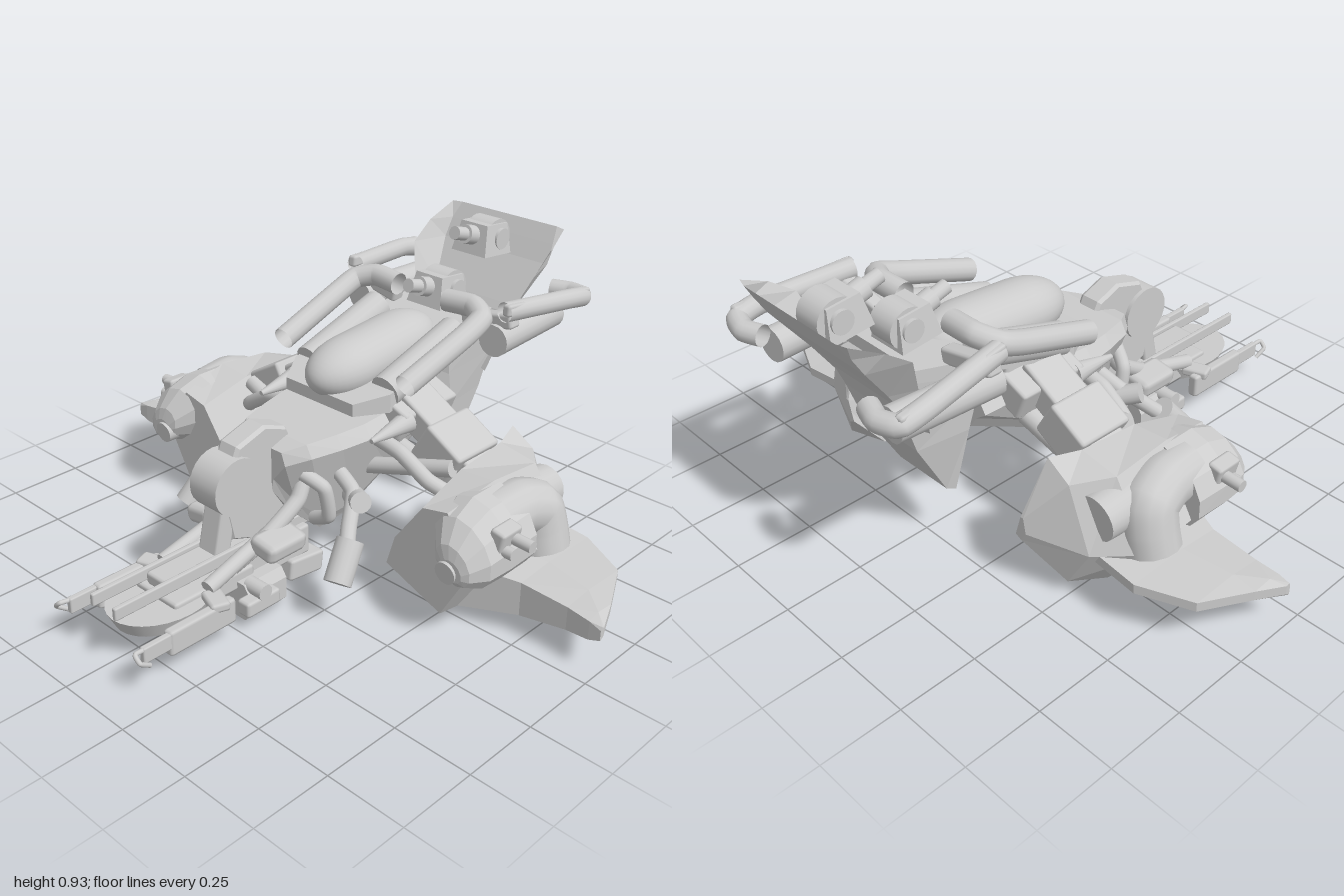
import * as THREE from 'three';
import { RoundedBoxGeometry } from 'three/addons/geometries/RoundedBoxGeometry.js';

const smooth = new THREE.MeshStandardMaterial({ color: 0xcccccc });
const open = new THREE.MeshStandardMaterial({ color: 0xcccccc, side: THREE.DoubleSide });
const flat = new THREE.MeshStandardMaterial({ color: 0xcccccc, flatShading: true, side: THREE.DoubleSide });
const V = (p) => new THREE.Vector3(...p);

export function createModel() {
  const root = new THREE.Group();
  root.name = 'hoverBike';

  const add = (name, geo, pos = [0, 0, 0], rot = [0, 0, 0], mat = smooth) => {
    const m = new THREE.Mesh(geo, mat);
    m.name = name;
    m.position.set(...pos);
    m.rotation.set(...rot);
    root.add(m);
    return m;
  };
  const box = (name, size, pos, rot, r = 0.01) => add(name, new RoundedBoxGeometry(...size, 1, r), pos, rot);
  // cylinder between two points
  const rod = (name, a, b, r, r2 = r, segs = 16) => {
    const d = V(b).sub(V(a));
    const m = add(name, new THREE.CylinderGeometry(r2, r, d.length(), segs));
    m.position.copy(V(a).addScaledVector(d, 0.5));
    m.quaternion.setFromUnitVectors(new THREE.Vector3(0, 1, 0), d.normalize());
    return m;
  };
  // rectangular bar between two points
  const beam = (name, a, b, w, h) => {
    const m = add(name, new RoundedBoxGeometry(w, h, V(a).distanceTo(V(b)), 1, 0.01));
    m.position.copy(V(a).lerp(V(b), 0.5));
    m.lookAt(V(b));
    return m;
  };
  const tube = (name, pts, r) => add(name, new THREE.TubeGeometry(
    new THREE.CatmullRomCurve3(pts.map(V), false, 'catmullrom', 0.25), 40, r, 14, false), [0, 0, 0], [0, 0, 0], open);
  // skin through rows of points; closed rows get end caps
  const skin = (name, rows, closed) => {
    const n = rows[0].length, pos = [];
    const tri = (...p) => p.forEach((q) => pos.push(...q));
    for (let i = 0; i + 1 < rows.length; i++)
      for (let j = 0; j < (closed ? n : n - 1); j++) {
        const k = (j + 1) % n, A = rows[i], B = rows[i + 1];
        tri(A[j], B[j], B[k]);
        tri(A[j], B[k], A[k]);
      }
    if (closed)
      for (let j = 1; j < n - 1; j++) {
        const A = rows[0], B = rows[rows.length - 1];
        tri(A[0], A[j], A[j + 1]);
        tri(B[0], B[j + 1], B[j]);
      }
    const g = new THREE.BufferGeometry();
    g.setAttribute('position', new THREE.Float32BufferAttribute(pos, 3));
    g.computeVertexNormals();
    return add(name, g, [0, 0, 0], [0, 0, 0], flat);
  };

  // central hull: z, top, bottom, half width at top and bottom
  const hull = [[0.26, 0.48, 0.34, 0.1, 0.05], [0.2, 0.5, 0.25, 0.15, 0.08], [0.1, 0.505, 0.16, 0.18, 0.1],
    [0.0, 0.51, 0.18, 0.2, 0.12], [-0.15, 0.52, 0.26, 0.2, 0.13], [-0.4, 0.5, 0.39, 0.17, 0.13]];
  skin('hull', hull.map(([z, t, b, w, v]) => [[-w * 0.85, t, z], [w * 0.85, t, z], [w, t - 0.04, z],
    [v, b + 0.04, z], [v * 0.8, b, z], [-v * 0.8, b, z], [-v, b + 0.04, z], [-w, t - 0.04, z]]), true);
  box('neck', [0.34, 0.12, 0.24], [0, 0.53, -0.2], [0.1, 0, 0]);
  // saddle deck: z, bottom, top, half width
  skin('saddleDeck', [[0.02, 0.53, 0.57, 0.14], [-0.08, 0.53, 0.59, 0.2], [-0.42, 0.62, 0.67, 0.19], [-0.62, 0.66, 0.7, 0.15]]
    .map(([z, b, t, w]) => [[-w, b, z], [w, b, z], [w, t, z], [-w, t, z]]), true);
  const cowl = add('cowl', new THREE.CapsuleGeometry(0.1, 0.13, 10, 28), [0, 0.625, -0.215], [Math.PI / 2 + 0.08, 0, 0]);
  cowl.scale.set(1.05, 1.6, 0.9);

  // tail shroud: y, back z, front z, half width
  const channel = (rows) => rows.map(([y, zb, zf, w]) => [[-w, y, zf], [-w * 0.85, y, zb], [w * 0.85, y, zb], [w, y, zf]]);
  skin('tailScreen', channel([[0.92, -0.885, -0.875, 0.23], [0.87, -0.855, -0.78, 0.25], [0.81, -0.82, -0.7, 0.25],
    [0.68, -0.725, -0.65, 0.2], [0.49, -0.6, -0.59, 0.16]]), false);
  skin('tailChannel', channel([[0.66, -0.7, -0.4, 0.16], [0.54, -0.65, -0.41, 0.155], [0.42, -0.61, -0.44, 0.145],
    [0.22, -0.5, -0.48, 0.125]]), false);

  // two turrets on the spine
  for (const [y, z] of [[0.875, -0.75], [0.755, -0.53]]) {
    const drum = add('turretDrum', new THREE.CylinderGeometry(0.065, 0.065, 0.09, 20), [0, y, z - 0.02], [0, 0, Math.PI / 2]);
    drum.scale.x = 0.95;
    add('turretBody', new THREE.CylinderGeometry(0.075, 0.098, 0.1, 4, 1, false, Math.PI / 4), [0, y, z], [-0.1, 0, 0], flat);
    rod('turretBarrel', [0, y + 0.01, z + 0.03], [0, y + 0.045, z + 0.15], 0.022);
    rod('turretCollar', [0, y + 0.015, z + 0.05], [0, y + 0.03, z + 0.1], 0.032);
    for (const s of [-1, 1]) rod('turretHub', [s * 0.04, y, z - 0.02], [s * 0.068, y, z - 0.02], 0.035);
  }

  // headlight column and front fork
  const side = new THREE.Shape([[0.44, 0.38], [0.41, 0.24], [0.3, 0.2], [0.17, 0.3], [0.16, 0.44], [0.2, 0.52],
    [0.28, 0.55], [0.38, 0.52]].map(([z, y]) => new THREE.Vector2(-z, y)));
  const head = new THREE.ExtrudeGeometry(side, { depth: 0.06, bevelSize: 0.008, bevelThickness: 0.012, bevelSegments: 1 });
  add('headColumn', head.translate(0, 0, -0.03), [0, 0, 0], [0, Math.PI / 2, 0], flat);
  rod('headlightDrum', [-0.055, 0.41, 0.4], [0.055, 0.41, 0.4], 0.09, 0.09, 24);
  beam('forkSpine', [0, 0.36, 0.42], [0, 0.18, 0.46], 0.08, 0.06);

  // front skid
  skin('skidBox', [[0.01, 0.12], [0.03, 0.14], [0.1, 0.14], [0.13, 0.12]].map(([y, w]) =>
    [[-w, y, 0.3], [w, y, 0.3], [w, y, 0.45], [-w, y, 0.45]]), true);
  box('skidHeel', [0.2, 0.07, 0.14], [0, 0.06, 0.17], [-0.12, 0, 0]);
  box('skidBridge', [0.16, 0.1, 0.34], [0, 0.14, 0.31]);
  const plate = add('skidPlate', new THREE.CylinderGeometry(0.135, 0.115, 0.05, 28), [0, 0.12, 0.66]);
  plate.scale.z = 1.27;
  box('skidKeel', [0.18, 0.06, 0.3], [0, 0.13, 0.53]);
  box('skidTop', [0.09, 0.04, 0.55], [0, 0.19, 0.4]);

  for (const s of [-1, 1]) {
    // skid rails, prongs and clamps
    box('skidRail', [0.016, 0.04, 0.74], [s * 0.05, 0.2, 0.49], [0, 0, 0], 0.005);
    box('prong', [0.035, 0.08, 0.24], [s * 0.16, 0.115, 0.65]);
    box('prongFlare', [0.09, 0.03, 0.06], [s * 0.14, 0.15, 0.575], [0, s * -0.35, 0]);
    box('prongArm', [0.02, 0.05, 0.14], [s * 0.165, 0.125, 0.79], [0, 0, 0], 0.005);
    tube('prongHook', [[s * 0.165, 0.14, 0.84], [s * 0.17, 0.145, 0.885], [s * 0.19, 0.125, 0.885], [s * 0.185, 0.1, 0.85]], 0.007);
    rod('skidDamper', [s * 0.09, 0.24, 0.32], [s * 0.1, 0.17, 0.57], 0.024);
    box('skidClamp', [0.05, 0.05, 0.13], [s * 0.15, 0.08, 0.42]);
    rod('skidBolt', [s * 0.11, 0.12, 0.42], [s * 0.18, 0.12, 0.42], 0.025);
    box('forkBlock', [0.1, 0.06, 0.15], [s * 0.14, 0.235, 0.33], [0, 0, s * -0.15], 0.02);
    tube('forkTube', [[s * 0.09, 0.42, 0.16], [s * 0.11, 0.32, 0.22], [s * 0.1, 0.24, 0.34], [s * 0.08, 0.18, 0.46]], 0.025);

    // foot pegs
    tube('pegArm', [[s * 0.13, 0.38, 0.08], [s * 0.22, 0.34, 0.1], [s * 0.27, 0.27, 0.17], [s * 0.3, 0.23, 0.21]], 0.024);
    rod('footPeg', [s * 0.305, 0.255, 0.2], [s * 0.33, 0.155, 0.28], 0.042);
    rod('rearPeg', [s * 0.18, 0.3, 0.06], [s * 0.28, 0.34, 0.13], 0.032);
    tube('sideHose', [[s * 0.11, 0.4, 0.2], [s * 0.17, 0.36, 0.17], [s * 0.17, 0.26, 0.15], [s * 0.1, 0.22, 0.14]], 0.022);

    // arms carrying the pods
    beam('armBeam', [s * 0.16, 0.54, -0.2], [s * 0.48, 0.36, -0.2], 0.13, 0.09);
    beam('armSleeve', [s * 0.29, 0.465, -0.2], [s * 0.42, 0.39, -0.2], 0.19, 0.13);
    beam('armRoot', [s * 0.14, 0.52, -0.21], [s * 0.24, 0.48, -0.21], 0.24, 0.1);
    tube('armPipe', [[s * 0.17, 0.46, -0.04], [s * 0.28, 0.44, -0.04], [s * 0.38, 0.38, -0.05], [s * 0.45, 0.33, -0.1]], 0.024);
    rod('upperStrut', [s * 0.13, 0.34, -0.05], [s * 0.43, 0.42, -0.1], 0.026);
    rod('lowerStrut', [s * 0.12, 0.35, -0.2], [s * 0.42, 0.27, -0.2], 0.035);

    // pod shell: z, then outline from inner foot round to outer foot
    const pod = [
      [0.08, 0.34, 0.14, 0.37, 0.24, 0.47, 0.38, 0.56, 0.4, 0.64, 0.22, 0.55, 0.06],
      [-0.1, 0.31, 0.12, 0.34, 0.25, 0.46, 0.43, 0.58, 0.44, 0.7, 0.24, 0.57, 0.05],
      [-0.3, 0.31, 0.12, 0.35, 0.26, 0.45, 0.44, 0.58, 0.42, 0.7, 0.22, 0.56, 0.05],
      [-0.4, 0.32, 0.11, 0.35, 0.25, 0.42, 0.45, 0.5, 0.4, 0.58, 0.2, 0.5, 0.06],
      [-0.475, 0.37, 0.2, 0.38, 0.23, 0.39, 0.27, 0.4, 0.27, 0.41, 0.22, 0.39, 0.19]];
    skin('podShell', pod.map(([z, ...p]) => [0, 2, 4, 6, 8, 10].map((i) => [s * p[i], p[i + 1], z])), true);
    // faceted nose: z, half width, bottom, top
    skin('podNose', [[-0.12, 0.11, 0.2, 0.43], [0.0, 0.115, 0.2, 0.43], [0.08, 0.1, 0.2, 0.4], [0.13, 0.06, 0.22, 0.34], [0.14, 0.035, 0.235, 0.3]]
      .map(([z, w, b, t]) => Array.from({ length: 12 }, (_, i) => {
        const a = i * Math.PI / 6, y = (t + b) / 2 + Math.sin(a) * (t - b) / 2;
        return [s * (0.7 - 0.27 * y + Math.cos(a) * w), y, z];
      })), true);
    rod('podLamp', [s * 0.61, 0.26, 0.1], [s * 0.61, 0.255, 0.145], 0.04, 0.035, 20);
    // elbow duct turning down behind the nose
    tube('podDuct', [[s * 0.61, 0.34, -0.06], [s * 0.62, 0.345, -0.16], [s * 0.635, 0.32, -0.23], [s * 0.65, 0.26, -0.24], [s * 0.665, 0.2, -0.24]], 0.085);
    rod('podTurbine', [s * 0.58, 0.33, -0.1], [s * 0.57, 0.31, -0.37], 0.09, 0.07, 20);
    rod('podGun', [s * 0.66, 0.35, -0.015], [s * 0.785, 0.345, -0.015], 0.018);
    box('podGunMount', [0.05, 0.07, 0.09], [s * 0.7, 0.35, 0], [0, 0, s * -0.2]);
    rod('podGunTwin', [s * 0.67, 0.32, 0.02], [s * 0.75, 0.32, 0.02], 0.018);

    // stub wing: x, front z, back z, bottom, top
    skin('wing', [[0.5, 0.03, -0.38, 0.05, 0.22], [0.73, -0.055, -0.385, 0.075, 0.195], [0.885, -0.06, -0.31, 0.1, 0.185],
      [0.96, -0.055, -0.16, 0.108, 0.178], [0.998, -0.055, -0.07, 0.122, 0.165]]
      .map(([x, f, r, b, t]) => [[s * x, b, f], [s * x, t - 0.01, f], [s * x, t, f - (f - r) * 0.4],
        [s * x, t - 0.005, r], [s * x, t - 0.035, r], [s * x, b, f - (f - r) * 0.3]]), true);

    // front exhaust pair on the saddle
    tube('frontExhaust', [[s * 0.1, 0.76, -0.45], [s * 0.2, 0.765, -0.455], [s * 0.26, 0.75, -0.42], [s * 0.265, 0.72, -0.34], [s * 0.255, 0.635, -0.08]], 0.036);
    rod('frontMuffler', [s * 0.16, 0.58, -0.1], [s * 0.16, 0.68, -0.42], 0.052);
    rod('hullSpike', [s * 0.235, 0.5, -0.12], [s * 0.235, 0.49, 0.04], 0.035, 0.008);

    // rear exhaust pair beside the tail
    tube('rearExhaust', [[s * 0.23, 0.73, -0.83], [s * 0.29, 0.73, -0.85], [s * 0.35, 0.735, -0.83], [s * 0.355, 0.75, -0.75], [s * 0.31, 0.77, -0.47]], 0.032);
    rod('rearMuffler', [s * 0.28, 0.67, -0.46], [s * 0.26, 0.67, -0.79], 0.052);
    beam('exhaustGuard', [s * 0.32, 0.78, -0.46], [s * 0.36, 0.75, -0.84], 0.03, 0.04);
    beam('exhaustBracket', [s * 0.14, 0.7, -0.5], [s * 0.33, 0.74, -0.5], 0.05, 0.05);
  }
  return root;
}
